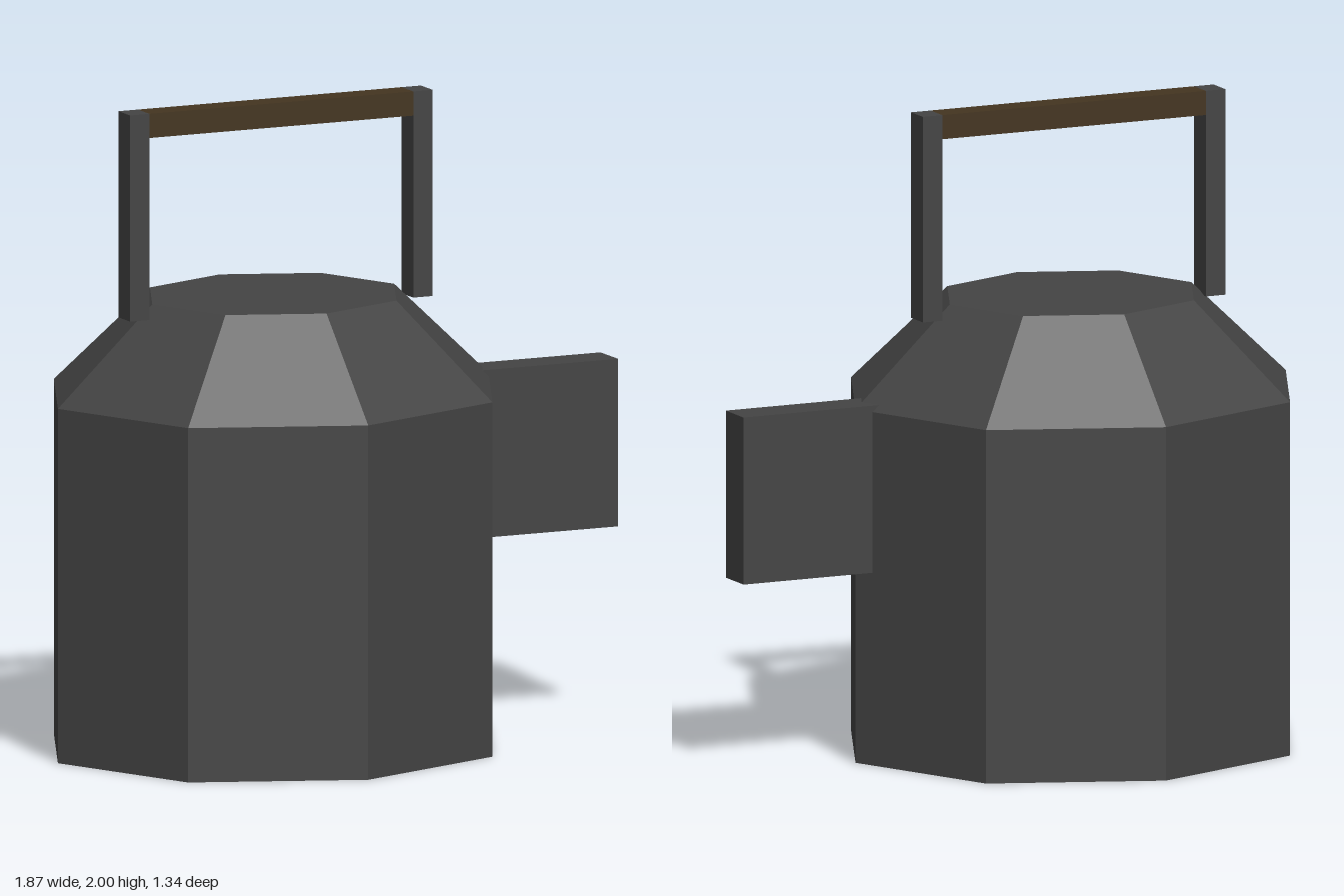
import * as THREE from 'three';

const steel = new THREE.MeshStandardMaterial({ color: 0x444444, flatShading: true });
steel.name = 'dark steel';
const wood = new THREE.MeshStandardMaterial({ color: 0x443520, flatShading: true });
wood.name = 'dark wood';

const BODY_X = -0.205; // axis of the pot
const DEPTH = 0.67 / 0.73; // the octagon is slightly narrower in z

export function createModel() {
  const model = new THREE.Group();
  model.name = 'kettle';

  const add = (name, geometry, material, x, y, parent = model) => {
    const mesh = new THREE.Mesh(geometry, material);
    mesh.name = name;
    mesh.position.set(x, y, 0);
    parent.add(mesh);
    return mesh;
  };

  // Eight-sided pot: straight wall, then a sloping shoulder with a flat top
  const wall = new THREE.CylinderGeometry(0.73, 0.73, 1.1, 8).scale(1, 1, DEPTH);
  add('body', wall, steel, BODY_X, 0.55);
  const slope = new THREE.CylinderGeometry(0.41, 0.73, 0.3, 8).scale(1, 1, DEPTH);
  add('shoulder', slope, steel, BODY_X, 1.25);

  // Block spout, sunk into the wall
  add('spout', new THREE.BoxGeometry(0.515, 0.52, 0.125), steel, 0.6775, 0.86);

  // Handle: two upright posts with a wooden grip between them
  const handle = new THREE.Group();
  handle.name = 'handle';
  handle.position.x = -0.197;
  model.add(handle);
  for (const side of [-1, 1]) {
    add(side > 0 ? 'leftPost' : 'rightPost',
      new THREE.BoxGeometry(0.066, 0.64, 0.083), steel, side * 0.48, 1.68, handle);
  }
  add('grip', new THREE.BoxGeometry(0.894, 0.075, 0.083), wood, 0, 1.9625, handle);

  return model;
}
